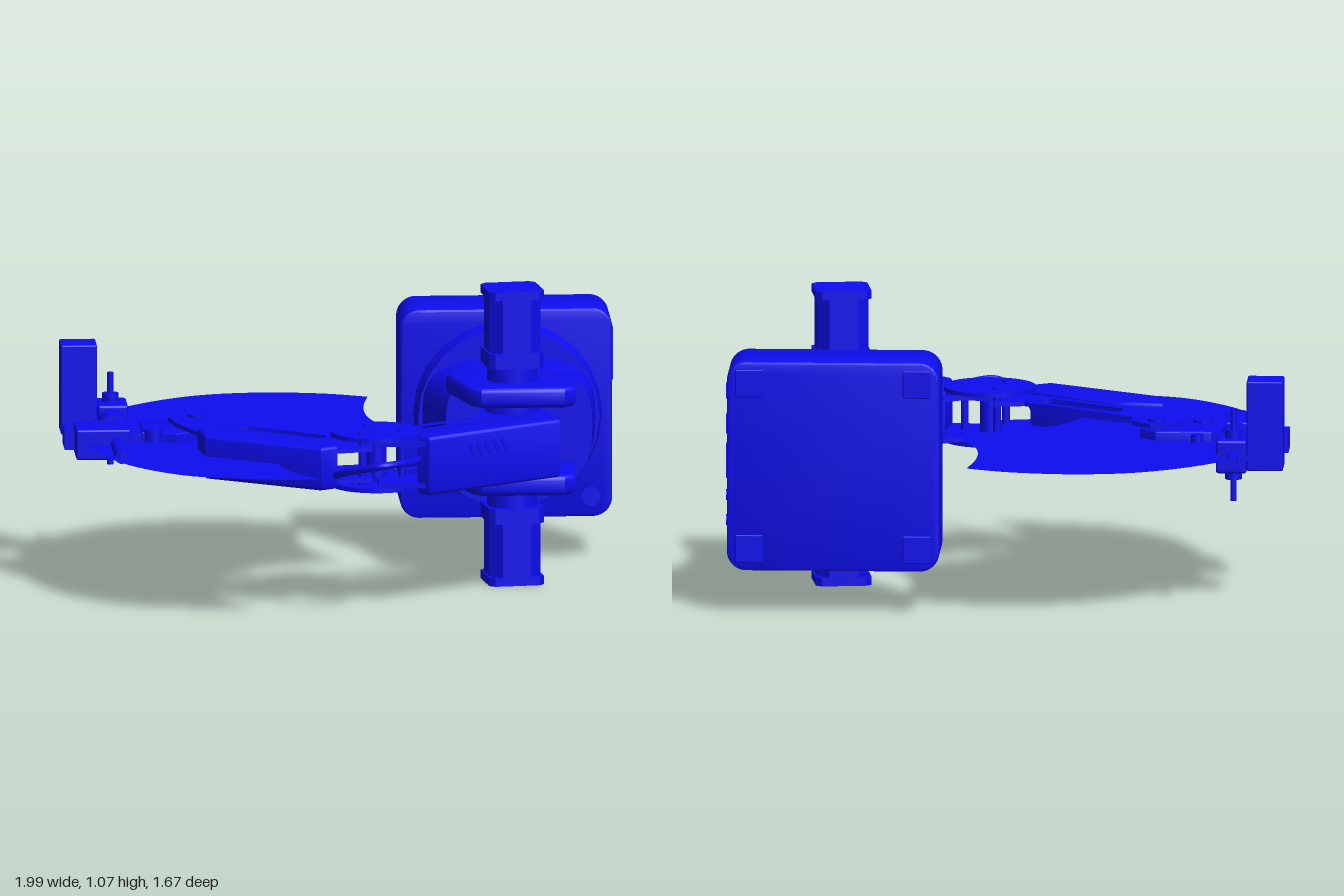
import * as THREE from 'three';
import { toCreasedNormals } from 'three/addons/utils/BufferGeometryUtils.js';
import { RoundedBoxGeometry } from 'three/addons/geometries/RoundedBoxGeometry.js';

const blue = new THREE.MeshStandardMaterial({ color: 0x0d0df0 });
const blueThin = new THREE.MeshStandardMaterial({ color: 0x0d0df0, side: THREE.DoubleSide });
const MID = 0.54; // height of the arm's centre plane

export function createModel() {
  const root = new THREE.Group();
  const add = (name, geo, x = 0, y = 0, z = 0, parent = root, mat = blue) => {
    const m = new THREE.Mesh(geo, mat);
    m.name = name;
    m.position.set(x, y, z);
    parent.add(m);
    return m;
  };
  const box = (name, x0, x1, y0, y1, z0, z1, r = 0) => add(name,
    r ? new RoundedBoxGeometry(x1 - x0, y1 - y0, z1 - z0, 2, r) : new THREE.BoxGeometry(x1 - x0, y1 - y0, z1 - z0),
    (x0 + x1) / 2, (y0 + y1) / 2, (z0 + z1) / 2);
  const cyl = (name, r, x, z, y0, y1, n = 32, parent = root) =>
    add(name, new THREE.CylinderGeometry(r, r, y1 - y0, n), x, (y0 + y1) / 2, z, parent);
  const rodZ = (name, r, x, y, z0, z1, r2 = r) =>
    add(name, new THREE.CylinderGeometry(r2, r, z1 - z0, 24).rotateX(Math.PI / 2), x, y, (z0 + z1) / 2);

  // horizontal slab from a plan outline of [x, z] points
  const outline = pts => pts.map(([x, z]) => new THREE.Vector2(x, -z));
  const slab = (name, pts, y0, y1, { bevel = 0, hole } = {}) => {
    const s = new THREE.Shape(outline(pts));
    if (hole) s.holes.push(new THREE.Path(outline(hole)));
    const g = new THREE.ExtrudeGeometry(s, {
      depth: y1 - y0 - 2 * bevel, bevelEnabled: bevel > 0, bevelSize: bevel, bevelOffset: -bevel,
      bevelThickness: bevel, bevelSegments: 3 });
    g.rotateX(-Math.PI / 2);
    return add(name, toCreasedNormals(g, 0.6), 0, y0 + bevel, 0);
  };
  // stadium outline between two points
  const stadium = ([ax, az], [bx, bz], r) => {
    const a = Math.atan2(bz - az, bx - ax), pts = [];
    for (let i = 0; i <= 24; i++) {
      const end = i <= 12, t = a - Math.PI / 2 + (end ? i : i - 1) * Math.PI / 12;
      const s = i === 13 ? a + Math.PI / 2 : t;
      pts.push([(end ? bx : ax) + r * Math.cos(s), (end ? bz : az) + r * Math.sin(s)]);
    }
    return pts;
  };

  // control box
  const roundRect = (w, h, r) => {
    const s = new THREE.Shape(), x = w / 2 - r, y = h / 2 - r;
    s.absarc(x, y, r, 0, Math.PI / 2);
    s.absarc(-x, y, r, Math.PI / 2, Math.PI);
    s.absarc(-x, -y, r, Math.PI, Math.PI * 1.5);
    s.absarc(x, -y, r, Math.PI * 1.5, Math.PI * 2);
    return s;
  };
  const baseGeo = new THREE.ExtrudeGeometry(roundRect(0.76, 0.76, 0.07), {
    depth: 0.25, bevelThickness: 0.01, bevelSize: 0.01, bevelOffset: -0.01, bevelSegments: 2, curveSegments: 10 });
  add('controlBox', toCreasedNormals(baseGeo, 0.6), 0.61, 0.535, -0.69);
  rodZ('powerButton', 0.035, 0.915, 0.23, -0.44, -0.425);
  for (const sx of [-1, 1]) for (const sy of [-1, 1])
    add('backCornerPad', new RoundedBoxGeometry(0.1, 0.1, 0.01, 2, 0.004), 0.61 + sx * 0.3, 0.535 + sy * 0.3, -0.7);
  for (const [y, z, h, w] of [[0.74, -0.51, 0.19, 0.08], [0.8, -0.64, 0.05, 0.06], [0.68, -0.64, 0.065, 0.06], [0.545, -0.64, 0.12, 0.06]])
    box('sidePort', 0.985, 0.995, y - h / 2, y + h / 2, z - w / 2, z + w / 2);
  for (const y of [0.33, 0.42])
    add('sideSocket', new THREE.CylinderGeometry(0.02, 0.02, 0.01, 20).rotateZ(Math.PI / 2), 0.99, y, -0.64);

  // round collar and tapered shoulder housing
  rodZ('collar', 0.34, 0.615, MID - 0.005, -0.44, -0.35, 0.325);
  const loft = sections => {
    const N = 48, pos = [], idx = [];
    for (const [z, cx, hx, hy] of sections) for (let i = 0; i < N; i++) {
      const t = i / N * Math.PI * 2, c = Math.cos(t), s = Math.sin(t);
      pos.push(cx + hx * Math.sign(c) * Math.abs(c) ** 0.65, MID + hy * Math.sign(s) * Math.abs(s) ** 0.65, z);
    }
    for (let k = 0; k < sections.length - 1; k++) for (let i = 0; i < N; i++) {
      const a = k * N + i, b = k * N + (i + 1) % N;
      idx.push(a, b, b + N, a, b + N, a + N);
    }
    const e = (sections.length - 1) * N;
    for (let i = 1; i < N - 1; i++) idx.push(e, e + i, e + i + 1);
    const g = new THREE.BufferGeometry();
    g.setAttribute('position', new THREE.Float32BufferAttribute(pos, 3));
    g.setIndex(idx);
    return toCreasedNormals(g, 0.7);
  };
  add('shoulderHousing', loft([[-0.43, 0.615, 0.325, 0.218], [-0.35, 0.615, 0.31, 0.212],
    [-0.25, 0.63, 0.285, 0.207], [-0.14, 0.64, 0.262, 0.203]]));
  const prong = [[0.38, -0.16], [0.45, 0.1], [0.49, 0.14], [0.79, 0.14], [0.83, 0.1], [0.84, -0.16]];
  slab('upperProng', prong, 0.66, 0.735, { bevel: 0.02 });
  slab('lowerProng', prong, 0.34, 0.415, { bevel: 0.02 });

  // shoulder motors, mirrored above and below
  for (const s of [1, -1]) {
    const motor = new THREE.Group();
    motor.name = s > 0 ? 'upperMotor' : 'lowerMotor';
    const block = (name, w, c, y0, y1) => {
      const h = w / 2, k = h - c;
      const sh = new THREE.Shape([[h, k], [k, h], [-k, h], [-h, k], [-h, -k], [-k, -h], [k, -h], [h, -k]]
        .map(p => new THREE.Vector2(...p)));
      const g = new THREE.ExtrudeGeometry(sh, { depth: y1 - y0, bevelEnabled: false }).rotateX(-Math.PI / 2);
      add(name, g, 0, y0, 0, motor);
    };
    block('motorCap', 0.2, 0.02, 0.505, 0.535);
    block('motorBody', 0.185, 0.04, 0.3, 0.51);
    block('motorFlange', 0.2, 0.02, 0.255, 0.31);
    cyl('motorCollar', 0.09, 0, 0, 0.19, 0.26, 32, motor);
    motor.position.set(0.61, 0.535, -0.035);
    motor.rotation.set(s > 0 ? 0 : Math.PI, s * 0.14, 0);
    root.add(motor);
  }
  cyl('shoulderHub', 0.1, 0.61, -0.035, 0.36, 0.72);

  // upper arm: two slotted plates and a thick cover
  const upperPlate = [[0.1, 0.27], [0.2, 0.27], [0.48, 0.08], [0.5, -0.08], [0.56, -0.14], [0.66, -0.14],
    [0.72, -0.08], [0.75, 0.13], [0.76, 0.25], [0.28, 0.56], [0.1, 0.54]];
  const upperSlot = stadium([0.225, 0.335], [0.495, 0.16], 0.036);
  for (const y of [0.605, 0.455]) slab('upperArmPlate', upperPlate, y, y + 0.018, { hole: upperSlot });
  slab('upperArmCover', [[0.24, 0.53], [0.28, 0.572], [0.765, 0.25], [0.765, 0.19], [0.72, 0.13], [0.58, 0.165],
    [0.26, 0.385]], 0.43, 0.643, { bevel: 0.014 });

  // elbow discs, posts and screws
  const elbow = [0.1, 0.4];
  for (const y of [0.622, 0.44]) cyl('elbowDisc', 0.165, ...elbow, y, y + 0.016, 48);
  cyl('elbowPivot', 0.035, ...elbow, 0.44, 0.638);
  for (const [x, z] of [[0.07, 0.32], [0.19, 0.42], [0.045, 0.48]]) {
    cyl('elbowPost', 0.01, x, z, 0.44, 0.638, 12);
    cyl('elbowScrew', 0.014, x, z, 0.434, 0.644, 12);
  }

  // forearm
  const forePlate = [[0.08, 0.26], [-0.03, 0.28], [-0.29, 0.1], [-0.43, 0], [-0.43, -0.08], [-0.5, -0.15], [-0.57, -0.15],
    [-0.62, -0.09], [-0.6, 0.02], [-0.53, 0.2], [-0.51, 0.35], [-0.11, 0.595], [-0.05, 0.56], [0.08, 0.53]];
  const foreSlot = stadium([-0.35, 0.145], [-0.115, 0.31], 0.04);
  for (const y of [0.585, 0.473]) slab('forearmPlate', forePlate, y, y + 0.015, { hole: foreSlot });
  slab('forearmCover', [[-0.11, 0.603], [-0.05, 0.565], [-0.045, 0.44], [-0.38, 0.21], [-0.53, 0.2], [-0.512, 0.35]],
    0.457, 0.615, { bevel: 0.014 });

  // slanted vents along the outer faces of both covers
  const vents = (n, [ax, az], [bx, bz], y, h) => {
    for (let i = 0; i < n; i++) {
      const t = i / (n - 1);
      const v = add('ventSlat', new THREE.BoxGeometry(0.014, h, 0.006), ax + (bx - ax) * t, y, az + (bz - az) * t);
      v.rotation.set(0, -Math.atan2(bz - az, bx - ax), 0.5, 'YXZ');
    }
  };
  vents(5, [0.44, 0.466], [0.56, 0.386], 0.575, 0.06);
  vents(5, [-0.42, 0.407], [-0.28, 0.493], 0.535, 0.06);

  // looping cable at the elbow
  const path = new THREE.CatmullRomCurve3([[-0.06, 0.5, 0.54], [-0.03, 0.535, 0.66], [0.04, 0.57, 0.78], [0.1, 0.587, 0.818],
    [0.17, 0.587, 0.77], [0.225, 0.575, 0.67], [0.24, 0.56, 0.54]].map(p => new THREE.Vector3(...p)));
  add('cable', new THREE.TubeGeometry(path, 48, 0.013, 10));

  // wrist
  cyl('wristPivot', 0.03, -0.52, -0.085, 0.46, 0.61);
  slab('wristBracket', [[-0.72, -0.15], [-0.52, -0.15], [-0.46, -0.08], [-0.5, 0.02], [-0.6, 0.1], [-0.65, 0.07], [-0.72, 0.06]],
    0.5, 0.575, { bevel: 0.006 });
  cyl('wristRoller', 0.035, -0.68, 0.05, 0.49, 0.585);
  cyl('wristKnob', 0.022, -0.67, -0.175, 0.505, 0.57);
  box('wristLink', -0.78, -0.7, 0.515, 0.565, -0.13, 0.04);

  // tool head, along z
  const toolX = -0.81;
  rodZ('toolShaft', 0.02, toolX, MID, -0.6, -0.45);
  rodZ('toolBarrel', 0.05, toolX, MID, -0.32, -0.14);
  rodZ('toolRing', 0.062, toolX, MID, -0.16, -0.11);
  rodZ('toolNeck', 0.035, toolX, MID, -0.14, -0.06);
  box('toolBlock', -0.86, -0.75, 0.48, 0.6, -0.47, -0.31, 0.01);
  for (const s of [-1, 1]) rodZ('toolGuide', 0.009, toolX + s * 0.055, MID, -0.5, -0.06);
  box('toolBody', -0.96, -0.765, 0.485, 0.595, -0.07, 0.12, 0.008);
  rodZ('toolNozzle', 0.027, toolX, MID, 0.12, 0.36, 0.023);
  rodZ('toolTip', 0.015, toolX, MID, 0.36, 0.375);
  cyl('verticalRod', 0.011, toolX, -0.4, 0.37, 0.705, 16);
  cyl('rodSleeve', 0.03, toolX, -0.4, 0.45, 0.63, 20);
  box('toolMotor', -0.99, -0.86, 0.49, 0.815, -0.47, -0.34, 0.006);
  for (const z of [-0.15, -0.025]) box('sideBracketArm', -0.99, -0.84, 0.5, 0.57, z, z + 0.02);
  box('sideBracket', -0.995, -0.98, 0.5, 0.57, -0.15, -0.005);

  // thin crescent showing the reach of the arm
  const reach = new THREE.Shape();
  reach.moveTo(0.13, 0.74);
  reach.splineThru([[-0.03, 0.81], [-0.25, 0.84], [-0.47, 0.8], [-0.67, 0.67], [-0.82, 0.49], [-0.91, 0.24], [-0.93, 0],
    [-0.89, -0.27], [-0.78, -0.52], [-0.6, -0.71], [-0.4, -0.78], [-0.25, -0.81], [-0.12, -0.81]].map(p => new THREE.Vector2(...p)));
  reach.absarc(0.24, -0.46, 0.5, Math.PI + 0.77, Math.PI / 2, true);
  reach.splineThru([[0.16, -0.04 + 0.22], [0.11, 0.36], [0.105, 0.55], [0.13, 0.74]].map(p => new THREE.Vector2(...p)));
  add('reachArea', new THREE.ShapeGeometry(reach, 8).rotateX(-Math.PI / 2), 0, MID, 0, root, blueThin);

  return root;
}
